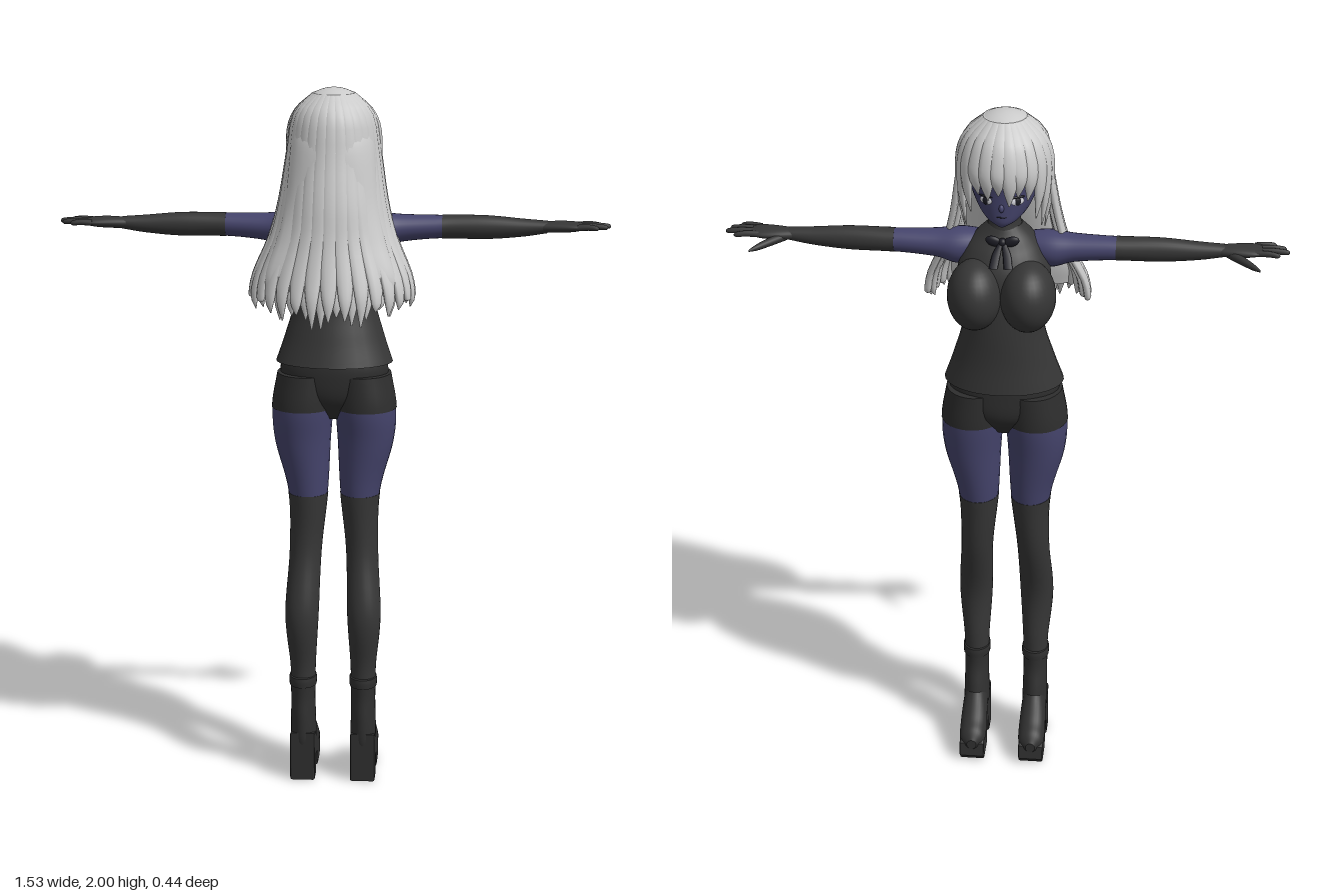
import * as THREE from 'three';

const material = (name, color) => Object.assign(new THREE.MeshStandardMaterial({ color }), { name });
const M = {
  skin: material('skin', 0x45446c),
  cloth: material('charcoal cloth', 0x363636),
  shorts: material('black shorts', 0x2e2e2e),
  boot: material('black leather', 0x303030),
  hair: material('silver hair', 0xcacaca),
  white: material('eye white', 0xd8d8e0),
  dark: material('dark detail', 0x1c1c24),
};

// Splined loft through rings [x, y, z, halfU, halfV]; t0..t1 takes a stretch of it
function loftGeometry(rings, { axis = 'y', yaw = 0, t0 = 0, t1 = 1, grow = 0, radial = 28, per = 6 } = {}) {
  const path = new THREE.CatmullRomCurve3(rings.map(r => new THREE.Vector3(r[0], r[1], r[2])), false, 'catmullrom');
  const size = new THREE.CatmullRomCurve3(rings.map(r => new THREE.Vector3(r[3], r[4], 0)), false, 'catmullrom');
  const [u, v] = {
    y: [new THREE.Vector3(Math.cos(yaw), 0, -Math.sin(yaw)), new THREE.Vector3(Math.sin(yaw), 0, Math.cos(yaw))],
    x: [new THREE.Vector3(0, 1, 0), new THREE.Vector3(0, 0, 1)],
    z: [new THREE.Vector3(1, 0, 0), new THREE.Vector3(0, 1, 0)],
  }[axis];
  const steps = Math.max(2, Math.round((rings.length - 1) * per * (t1 - t0)));
  const pos = [], idx = [];
  const addRing = t => {
    const c = path.getPoint(t), s = size.getPoint(t);
    for (let j = 0; j < radial; j++) {
      const a = (j / radial) * Math.PI * 2;
      const p = c.clone().addScaledVector(u, Math.cos(a) * (Math.max(s.x, 0.001) + grow))
        .addScaledVector(v, Math.sin(a) * (Math.max(s.y, 0.001) + grow));
      pos.push(p.x, p.y, p.z);
    }
    return c;
  };
  for (let i = 0; i <= steps; i++) addRing(t0 + (t1 - t0) * i / steps);
  for (let i = 0; i < steps; i++) for (let j = 0; j < radial; j++) {
    const a = i * radial + j, b = i * radial + (j + 1) % radial;
    idx.push(a, b, a + radial, b, b + radial, a + radial);
  }
  // End caps with their own vertices keep a crisp rim
  [[t0, true], [t1, false]].forEach(([t, first]) => {
    const base = pos.length / 3, c = addRing(t), mid = base + radial;
    pos.push(c.x, c.y, c.z);
    for (let j = 0; j < radial; j++) {
      const a = base + j, b = base + (j + 1) % radial;
      first ? idx.push(mid, b, a) : idx.push(mid, a, b);
    }
  });
  // Turn the faces outward if the enclosed volume is negative
  const P = k => new THREE.Vector3().fromArray(pos, k * 3);
  let volume = 0;
  for (let k = 0; k < idx.length; k += 3) volume += P(idx[k]).dot(P(idx[k + 1]).cross(P(idx[k + 2])));
  if (volume < 0) for (let k = 0; k < idx.length; k += 3) [idx[k], idx[k + 1]] = [idx[k + 1], idx[k]];
  const g = new THREE.BufferGeometry();
  g.setAttribute('position', new THREE.Float32BufferAttribute(pos, 3));
  g.setIndex(idx);
  g.computeVertexNormals();
  return g;
}

export function createModel() {
  const model = new THREE.Group();
  model.name = 'figure';
  const add = (name, geometry, mat, parent = model) => {
    const mesh = new THREE.Mesh(geometry, mat);
    mesh.name = name;
    parent.add(mesh);
    return mesh;
  };
  const loft = (name, rings, mat, opt, parent) => add(name, loftGeometry(rings, opt), mat, parent);
  const blob = (name, p, s, mat, parent) => {
    const m = add(name, new THREE.SphereGeometry(1, 32, 20), mat, parent);
    m.position.set(...p);
    m.scale.set(...s);
    return m;
  };
  // Ring from height, half width, front z and back z
  const slab = ([y, w, front, back]) => [0, y, (front + back) / 2, w, (back - front) / 2];

  // Torso
  loft('shirt', [[1.23, .165, -.17, .07], [1.31, .138, -.165, .045], [1.41, .112, -.165, .02], [1.5, .125, -.16, .035],
    [1.57, .125, -.15, .05], [1.62, .105, -.125, .05], [1.655, .078, -.092, .04], [1.685, .047, -.075, .022]].map(slab), M.cloth);
  loft('collar', [[1.67, .05, -.08, .026], [1.69, .044, -.076, .02], [1.71, .042, -.073, .016]].map(slab), M.cloth);
  loft('neck', [[1.66, .042, -.07, .015], [1.71, .037, -.07, .01], [1.77, .04, -.07, .02]].map(slab), M.skin);
  loft('pelvis', [[1.26, .14, -.13, .05], [1.2, .152, -.135, .055], [1.13, .12, -.13, .045], [1.07, .035, -.085, .0]].map(slab), M.shorts);

  // Ribbon at the throat
  const ribbon = new THREE.Group();
  ribbon.name = 'ribbon';
  model.add(ribbon);
  blob('ribbonKnot', [0, 1.655, -.1], [.011, .012, .012], M.dark, ribbon);

  for (const s of [-1, 1]) {
    const side = s > 0 ? 'left' : 'right';
    const flip = rings => rings.map(([x, ...r]) => [x * s, ...r]);
    blob(side + 'Bust', [.071 * s, 1.512, -.125], [.076, .098, .096], M.cloth);
    const loop = blob(side + 'RibbonLoop', [.024 * s, 1.658, -.1], [.022, .014, .009], M.dark, ribbon);
    loop.rotation.z = .3 * s;
    loft(side + 'RibbonTail', flip([[.004, 1.655, -.102, .006, .004], [.014, 1.63, -.125, .011, .004], [.02, 1.6, -.15, .012, .004]]),
      M.dark, { radial: 10 }, ribbon);

    // Arm and glove
    const arm = flip([[.05, 1.62, -.012, .03, .038], [.12, 1.608, -.015, .05, .055], [.19, 1.614, -.02, .038, .043],
      [.3, 1.618, -.024, .032, .034], [.42, 1.618, -.022, .032, .029], [.52, 1.618, -.02, .024, .024], [.59, 1.621, -.018, .016, .02]]);
    loft(side + 'UpperArm', arm, M.skin, { axis: 'x', t1: .5 });
    loft(side + 'Glove', arm, M.cloth, { axis: 'x', t0: .5, grow: .001 });
    loft(side + 'Palm', flip([[.57, 1.62, -.018, .015, .02], [.62, 1.622, -.018, .016, .031], [.66, 1.623, -.016, .014, .036],
      [.69, 1.624, -.014, .009, .034]]), M.cloth, { axis: 'x' });
    [[-.039, -.047, .738], [-.021, -.023, .764], [-.003, .0, .755], [.014, .021, .73]].forEach(([z0, z1, tip], i) =>
      loft(side + 'Finger' + (i + 1), flip([[.67, 1.624, z0, .009, .009], [(.67 + tip) / 2, 1.626, (z0 + z1) / 2, .0085, .0085],
        [tip - .008, 1.624, z1, .007, .007], [tip, 1.623, z1, .002, .002]]), M.cloth, { axis: 'x', radial: 10 }));
    loft(side + 'Thumb', flip([[.595, 1.617, -.025, .012, .014], [.63, 1.612, -.052, .012, .016], [.665, 1.606, -.083, .009, .012],
      [.686, 1.603, -.104, .003, .004]]), M.cloth, { axis: 'x', radial: 12 });

    // Leg: shorts, bare thigh, stocking
    const leg = flip([[.08, 1.2, -.04, .079, .094], [.089, 1.1, -.037, .086, .097], [.089, 1, -.037, .079, .085],
      [.074, .85, -.033, .056, .067], [.081, .68, -.022, .045, .053], [.089, .5, .022, .047, .048],
      [.087, .35, .01, .036, .04], [.087, .28, .008, .035, .04]]);
    loft(side + 'ShortsLeg', leg, M.shorts, { t1: 1 / 7, grow: .002 });
    loft(side + 'Thigh', leg, M.skin, { t0: 1 / 7, t1: 3 / 7 });
    loft(side + 'Stocking', leg, M.cloth, { t0: 3 / 7, grow: .001 });

    // Heeled boot
    const boot = new THREE.Group();
    boot.name = side + 'Boot';
    boot.position.x = .087 * s;
    model.add(boot);
    loft('bootCuff', [[0, .312, .01, .039, .051], [0, .3, .01, .04, .052], [0, .285, .01, .039, .051]], M.boot, {}, boot);
    loft('bootShaft', [[0, .31, .01, .037, .049], [0, .25, .008, .035, .047], [0, .19, .002, .036, .056],
      [0, .13, -.004, .037, .061], [0, .1, -.004, .035, .056]], M.boot, {}, boot);
    loft('bootFoot', [[0, .14, -.01, .034, .06], [0, .115, -.06, .037, .056], [0, .08, -.11, .039, .042],
      [0, .066, -.145, .035, .034], [0, .06, -.166, .014, .015]], M.boot, { axis: 'z' }, boot);
    const profile = new THREE.Shape([[-.05, .14], [-.046, .005], [-.002, .005], [.006, .062], [.055, .05], [.072, .005],
      [.145, .005], [.16, .022], [.156, .058], [.05, .12]].map(p => new THREE.Vector2(...p)));
    const sole = new THREE.ExtrudeGeometry(profile, { depth: .062, bevelSize: .005, bevelThickness: .005, bevelSegments: 2 });
    sole.translate(0, 0, -.031).rotateY(Math.PI / 2);
    add('bootSoleAndHeel', sole, M.boot, boot);

    // Eye
    const eye = new THREE.Group();
    eye.name = side + 'Eye';
    eye.position.set(.042 * s, 1.782, -.117);
    eye.rotation.y = -.5 * s;
    model.add(eye);
    blob('eyeWhite', [0, 0, 0], [.019, .011, .004], M.white, eye);
    blob('iris', [0, 0, -.002], [.009, .011, .004], M.dark, eye);
    blob('lash', [0, .012, -.001], [.021, .003, .004], M.dark, eye);
    blob('brow', [0, .031, .001], [.02, .002, .004], M.dark, eye);
    blob(side + 'Ear', [.095 * s, 1.79, -.02], [.01, .026, .018], M.skin);
  }

  // Head
  loft('head', [[1.707, .012, -.119, -.09], [1.722, .042, -.126, -.04], [1.75, .07, -.128, .03], [1.8, .092, -.13, .07],
    [1.86, .1, -.134, .09], [1.92, .088, -.112, .075], [1.96, .045, -.07, .035]].map(slab), M.skin);
  blob('nose', [0, 1.764, -.129], [.007, .011, .008], M.skin);
  blob('mouth', [0, 1.738, -.1255], [.013, .002, .003], M.dark);

  // Hair: smooth cap, filled back and layers of tapering locks
  const hair = new THREE.Group();
  hair.name = 'hair';
  model.add(hair);
  const cap = add('hairCap', new THREE.SphereGeometry(1, 48, 20, 0, Math.PI * 2, 0, 1.45), M.hair, hair);
  cap.position.set(0, 1.85, -.02);
  cap.scale.set(.126, .15, .132);
  loft('hairFill', [[0, 1.92, .0, .1, .08], [0, 1.85, .03, .115, .085], [0, 1.7, .075, .128, .065], [0, 1.6, .105, .148, .052],
    [0, 1.5, .13, .18, .05], [0, 1.44, .14, .17, .04]], M.hair, {}, hair);

  // Lock at angle a around the head (0 is the back); keys are [y, rx, rz, centreZ, halfWidth]
  const lock = (name, a, keys, inset = .004) => loft(name, keys.map(([y, rx, rz, zc, w]) =>
    [Math.sin(a) * (rx - inset), y, zc + Math.cos(a) * (rz - inset), w, Math.min(.01, w * .6)]),
  M.hair, { yaw: a, radial: 10, per: 3 }, hair);

  for (const [layer, count] of [[0, 17], [1, 16]]) for (let i = 0; i < count; i++) {
    const a = (i / (count - 1) - .5) * (3.3 - layer * .2);
    const tip = 1.385 + .045 * Math.sin(a) ** 2 + .018 * Math.sin(i * 2.4 + layer);
    lock('backLock', a, [[1.985, .055, .058, -.02, .012], [1.93, .108, .113, -.02, .02], [1.82, .127, .143, -.025, .024],
      [1.7, .146, .149, 0, .025], [1.6, .172, .146, .02, .025], [1.5, .215, .149, .046, .023],
      [1.44, .226, .157, .054, .016], [tip, .222, .163, .055, .002]], .004 + layer * .014);
  }

  // Fringe and face-framing locks
  const fringe = [-1.45, -1.2, -.95, -.68, -.42, -.2, .06, .32, .6, .88, 1.15, 1.45];
  const tips = [1.68, 1.695, 1.725, 1.785, 1.8, 1.775, 1.805, 1.79, 1.8, 1.74, 1.69, 1.675];
  fringe.forEach((f, i) => {
    const tip = tips[i], a = Math.PI - f;
    lock(Math.abs(f) > .9 ? 'sideLock' : 'fringeLock', a, [[1.985, .055, .058, -.02, .012], [1.94, .102, .107, -.02, .02],
      [1.88, .125, .131, -.02, .023], [(1.88 + tip) / 2, .124, .132, -.021, .018], [tip, .112, .125, -.02, .002]], .003);
  });

  return model;
}
